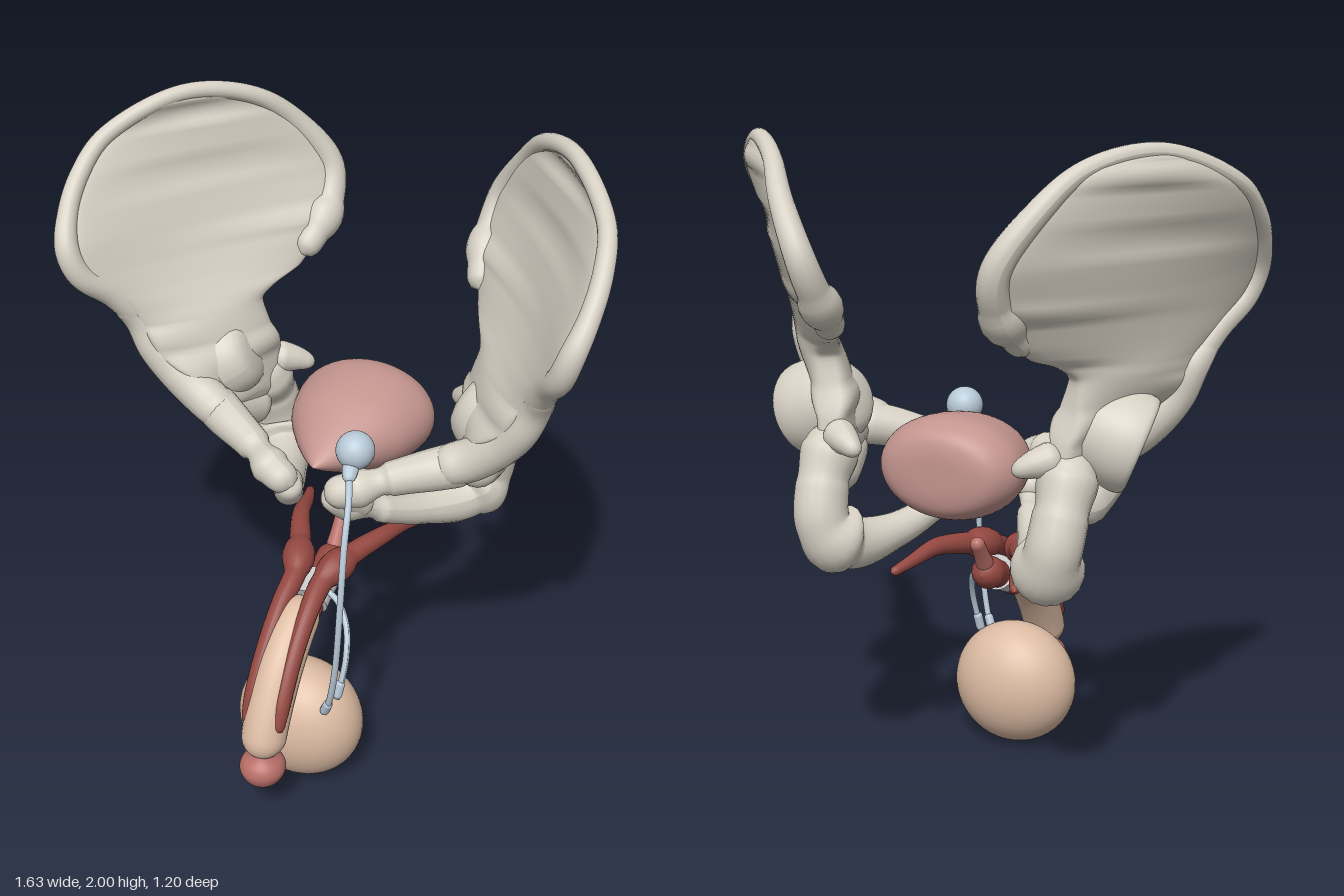
import * as THREE from 'three';

const V = (x, y, z) => new THREE.Vector3(x, y, z);
const mat = (color) => new THREE.MeshStandardMaterial({ color });
const BONE = mat(0xd6d0c4), PINK = mat(0xc4958f), RED = mat(0x934740), TAN = mat(0xdcbba3);
const DEVICE = mat(0xb9cad8), CUFF = mat(0xcfcfcf), TIP = mat(0xb86f68);

// Tube whose radius varies along the path, with rounded ends; pts are [x, y, z, radius]
function limb(pts, segments = 64, sides = 18) {
  const curve = new THREE.CatmullRomCurve3(pts.map((p) => V(p[0], p[1], p[2])));
  const radii = new THREE.CatmullRomCurve3(pts.map((p) => V(p[3], 0, 0)));
  const geo = new THREE.TubeGeometry(curve, segments, 1, sides);
  const pos = geo.attributes.position, length = curve.getLength(), v = V(0, 0, 0);
  for (let i = 0; i <= segments; i++) {
    const u = i / segments, c = curve.getPointAt(u);
    const r = radii.getPoint(curve.getUtoTmapping(u)).x;
    const d = Math.min(1, (Math.min(u, 1 - u) * length) / r);
    const k = r * Math.sqrt(Math.max(1e-5, 1 - (1 - d) ** 2));
    for (let j = 0; j <= sides; j++) {
      const n = i * (sides + 1) + j;
      v.fromBufferAttribute(pos, n).sub(c).multiplyScalar(k).add(c);
      pos.setXYZ(n, v.x, v.y, v.z);
    }
  }
  geo.computeVertexNormals();
  return geo;
}

// Closed skin over rings of points, with end caps
function loft(rings) {
  const n = rings[0].length, m = rings.length, flat = [], index = [];
  rings.flat().forEach((p) => flat.push(p.x, p.y, p.z));
  for (const ring of [rings[0], rings[m - 1]]) {
    const c = ring.reduce((s, p) => s.add(p), V(0, 0, 0)).divideScalar(n);
    flat.push(c.x, c.y, c.z);
  }
  for (let j = 0; j < n; j++) {
    const k = (j + 1) % n, last = (m - 1) * n;
    for (let i = 0; i < m - 1; i++) {
      const a = i * n + j, d = i * n + k;
      index.push(a, a + n, d + n, a, d + n, d);
    }
    index.push(m * n, j, k, m * n + 1, last + k, last + j);
  }
  const geo = new THREE.BufferGeometry();
  geo.setAttribute('position', new THREE.Float32BufferAttribute(flat, 3));
  geo.setIndex(index);
  geo.computeVertexNormals();
  return geo;
}

const lathe = (pts, segments = 40) => new THREE.LatheGeometry(
  new THREE.SplineCurve(pts.map((p) => new THREE.Vector2(p[0], p[1]))).getPoints(40)
    .map((p) => p.setX(Math.max(0, p.x))), segments);

function mirrored(geo) {
  const g = geo.clone().scale(-1, 1, 1), ix = g.index.array;
  for (let i = 0; i < ix.length; i += 3) [ix[i], ix[i + 1]] = [ix[i + 1], ix[i]];
  g.computeVertexNormals();
  return g;
}

// Iliac wing: horizontal sections from crest to hip socket
// y, front x z, middle x z, back x z, half thickness front / middle / back
function wingGeometry() {
  const rows = [
    [1.985, .62, -.19, .605, -.22, .57, -.25, .015, .015, .015],
    [1.95, .69, -.1, .602, -.23, .47, -.38, .025, .025, .025],
    [1.88, .76, -.02, .597, -.23, .4, -.46, .028, .024, .03],
    [1.8, .785, .08, .587, -.217, .34, -.52, .03, .022, .038],
    [1.7, .773, .165, .572, -.195, .285, -.56, .034, .022, .048],
    [1.6, .745, .215, .552, -.17, .265, -.53, .038, .025, .052],
    [1.53, .715, .2, .535, -.15, .275, -.46, .04, .03, .052],
    [1.46, .67, .145, .517, -.13, .29, -.41, .045, .043, .045],
    [1.425, .645, .115, .507, -.12, .305, -.37, .048, .052, .042],
    [1.395, .63, .1, .498, -.113, .345, -.29, .05, .06, .045],
    [1.35, .615, .085, .485, -.105, .38, -.25, .055, .07, .055],
    [1.27, .575, .08, .455, -.1, .37, -.26, .055, .065, .07],
    [1.18, .47, .05, .41, -.1, .36, -.29, .05, .04, .07],
    [1.08, .42, .02, .39, -.12, .35, -.3, .045, .045, .06],
    [1.02, .4, -.02, .38, -.12, .35, -.28, .02, .02, .03],
  ];
  const tracks = rows[0].map((_, c) => new THREE.CatmullRomCurve3(rows.map((r) => V(r[c], 0, 0))));
  const rings = [];
  for (let i = 0; i <= 84; i++) {
    const [y, fx, fz, mx, mz, bx, bz, tf, tm, tb] = tracks.map((t) => t.getPoint(i / 84).x);
    const path = new THREE.QuadraticBezierCurve3(V(fx, y, fz),
      V(2 * mx - (fx + bx) / 2, y, 2 * mz - (fz + bz) / 2), V(bx, y, bz));
    const ring = [];
    for (let j = 0; j < 48; j++) {
      const a = (j / 48) * Math.PI * 2, s = (1 - Math.cos(a)) / 2;
      const t = path.getTangent(s), c = path.getPoint(s);
      // smooth blend of the three thicknesses
      const w = tf * (1 - s) ** 3 + tb * s ** 3 + tm * (1 - (1 - s) ** 3 - s ** 3);
      const off = w * Math.sign(Math.sin(a)) * Math.abs(Math.sin(a)) ** .5;
      ring.push(V(c.x - t.z * off, y, c.z + t.x * off));
    }
    rings.push(ring);
  }
  return loft(rings);
}

function hipParts() {
  // Socket: a thick bowl facing outward, slightly down and forward
  const socket = lathe([[0, -.2], [.1, -.18], [.142, -.08], [.146, -.01], [.13, .008], [.114, -.005],
    [.1, -.05], [.06, -.085], [0, -.095]]);
  socket.applyQuaternion(new THREE.Quaternion().setFromUnitVectors(V(0, 1, 0), V(.87, -.35, .22).normalize()));
  socket.translate(.53, 1.15, -.11);
  return {
    iliacWing: wingGeometry(),
    iliacCrest: limb([[.62, 1.36, .055, .045], [.675, 1.46, .125, .04], [.73, 1.54, .2, .038],
      [.76, 1.62, .212, .036], [.782, 1.71, .16, .03], [.784, 1.8, .08, .028], [.755, 1.885, -.02, .026],
      [.605, 1.974, -.22, .025], [.46, 1.935, -.39, .027], [.37, 1.83, -.5, .034], [.285, 1.69, -.556, .042],
      [.268, 1.59, -.515, .046], [.278, 1.51, -.43, .046], [.3, 1.455, -.365, .042]], 110),
    hipSocket: socket,
    frontSpine: limb([[.665, 1.44, .115, .035], [.625, 1.36, .06, .05], [.585, 1.27, .05, .054],
      [.52, 1.19, .035, .06], [.43, 1.12, .03, .065], [.33, 1.085, .065, .058]]),
    superiorRamus: limb([[.44, 1.1, -.005, .07], [.34, 1.08, .055, .064], [.22, 1.048, .115, .052],
      [.125, 1.02, .175, .052], [.05, 1, .2, .046]]),
    pubicBody: limb([[.075, 1.01, .2, .042], [.1, .965, .14, .048], [.13, .9, .07, .042]]),
    ischium: limb([[.06, 1.01, .2, .04], [.09, .945, .15, .042], [.15, .868, .02, .042], [.23, .81, -.13, .055],
      [.315, .802, -.27, .082], [.36, .87, -.335, .082], [.375, .98, -.31, .08], [.375, 1.09, -.25, .08],
      [.375, 1.15, -.22, .075]], 90),
    socketFloor: limb([[.43, 1.06, -.02, .06], [.41, 1.02, -.12, .07], [.385, .98, -.25, .08]]),
    ischialSpine: limb([[.36, 1.14, -.26, .06], [.29, 1.12, -.31, .04], [.24, 1.1, -.34, .02]]),
  };
}

export function createModel() {
  const model = new THREE.Group();
  const add = (name, geo, material, parent = model) => {
    const mesh = new THREE.Mesh(geo, material);
    mesh.name = name;
    parent.add(mesh);
  };

  // Hip bones
  const parts = hipParts();
  for (const side of [1, -1]) {
    const hip = new THREE.Group();
    hip.name = side > 0 ? 'leftHipBone' : 'rightHipBone';
    for (const [name, geo] of Object.entries(parts)) add(name, side > 0 ? geo : mirrored(geo), BONE, hip);
    model.add(hip);
  }

  // Bladder: rounded at the back, tapering to a point at the front
  const bladder = lathe([[0, -.328], [.1, -.325], [.17, -.305], [.212, -.25], [.218, -.18], [.188, -.07],
    [.125, .03], [.06, .11], [0, .17]], 48);
  add('bladder', bladder.rotateX(Math.PI / 2).scale(1, .7, 1).translate(0, 1.056, 0), PINK);

  // Urethra, bulb and cuff
  add('urethra', limb([[0, .785, -.05, .022], [0, .73, -.01, .024], [0, .67, .03, .03]]), TIP);
  add('bulb', limb([[0, .655, -.012, .04], [0, .652, .04, .052], [0, .63, .1, .045], [0, .59, .18, .042],
    [0, .54, .26, .04]]), RED);
  const cuff = new THREE.CylinderGeometry(.056, .056, .09, 32);
  add('cuff', cuff.rotateX(Math.PI / 2 + .4).translate(0, .612, .155), CUFF);

  // Shaft with the paired erectile bodies along its upper sides
  add('shaft', limb([[0, .62, .22, .062], [0, .585, .3, .069], [0, .5, .4, .071], [0, .38, .483, .07],
    [0, .3, .52, .068], [0, .245, .535, .062]], 80, 28), TAN);
  const crus = limb([[.2, .703, -.22, .014], [.17, .722, -.14, .02], [.14, .738, -.03, .028],
    [.085, .722, .09, .034], [.047, .69, .2, .034], [.046, .64, .3, .03], [.047, .54, .41, .028],
    [.048, .43, .488, .027], [.048, .345, .528, .02]], 90);
  add('leftErectileBody', crus, RED);
  add('rightErectileBody', mirrored(crus), RED);
  add('glans', lathe([[0, .141], [.03, .147], [.056, .168], [.07, .2], [.064, .228], [.045, .25], [.03, .27],
    [0, .29]]).translate(0, 0, .53), TIP);

  // Scrotum
  add('scrotum', new THREE.SphereGeometry(1, 48, 32).scale(.202, .202, .155).translate(0, .204, .268), TAN);

  // Pressure balloon and tubing
  add('balloon', new THREE.SphereGeometry(.057, 32, 24).translate(.13, 1.145, .157), DEVICE);
  const hoses = {
    balloonConnector: [[.13, 1.12, .18, .026], [.135, 1.1, .205, .024], [.145, 1.085, .235, .015]],
    balloonTube: [[.14, 1.09, .22, .01], [.17, 1.05, .29, .01], [.185, .95, .35, .01], [.19, .75, .39, .01],
      [.175, .53, .39, .01], [.145, .38, .37, .01], [.12, .32, .355, .01]],
    balloonTubeEnd: [[.145, .38, .37, .015], [.12, .32, .355, .015]],
    cuffTube: [[.04, .63, .165, .01], [.09, .61, .185, .01], [.135, .56, .225, .01], [.155, .48, .27, .01],
      [.15, .4, .295, .01], [.14, .34, .305, .01]],
    cuffTubeEnd: [[.15, .41, .293, .015], [.14, .345, .305, .015]],
  };
  for (const [name, pts] of Object.entries(hoses)) add(name, limb(pts, 60, 12), DEVICE);

  return model;
}
